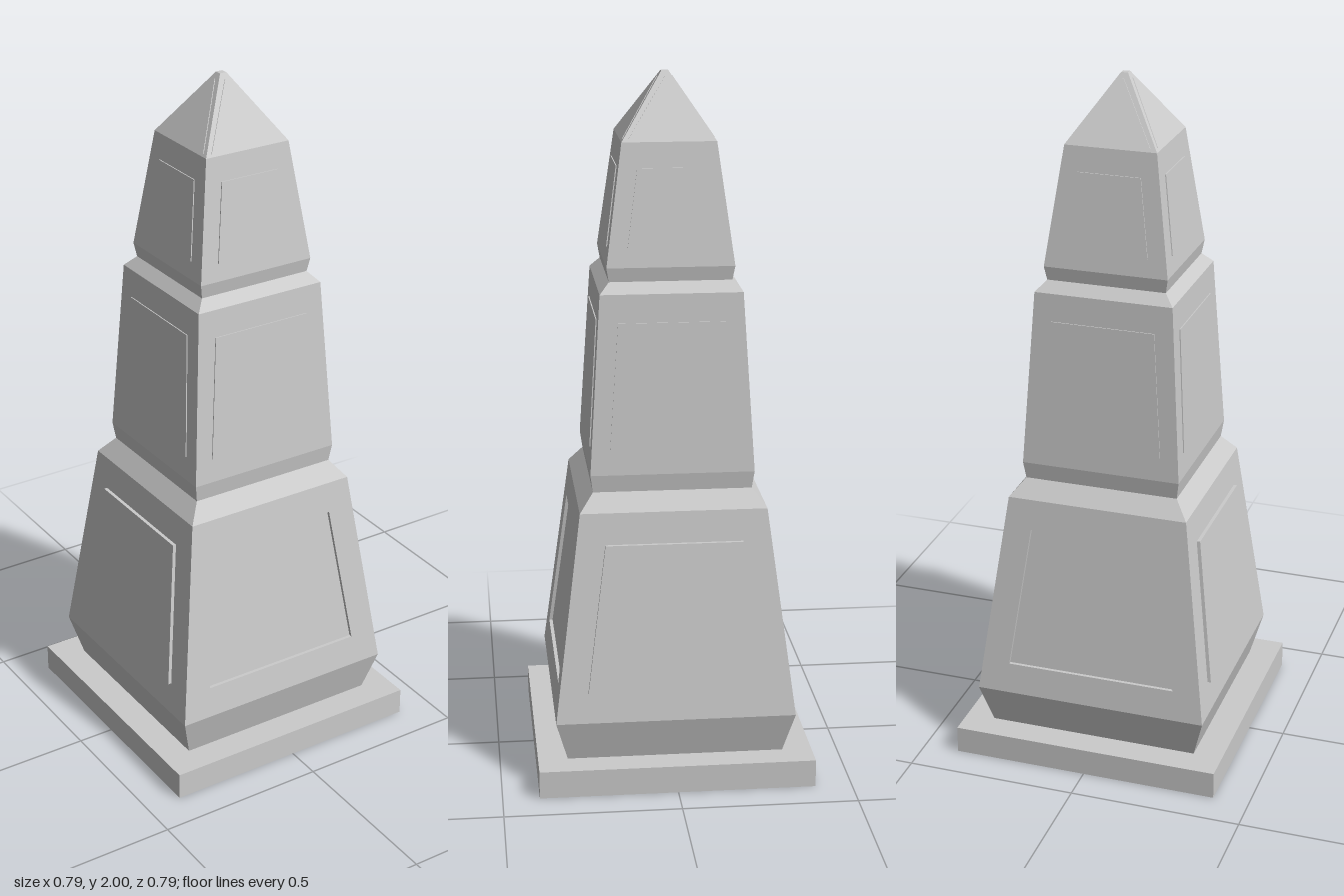
import * as THREE from 'three';

const stone = new THREE.MeshStandardMaterial({ color: 0xcccccc });

// Flat-faced mesh from quads, each with four corners counter-clockwise
function quadMesh(name, quads) {
  const pos = [];
  for (const [a, b, c, d] of quads) pos.push(...a, ...b, ...c, ...a, ...c, ...d);
  const geo = new THREE.BufferGeometry();
  geo.setAttribute('position', new THREE.Float32BufferAttribute(pos, 3));
  geo.computeVertexNormals();
  const mesh = new THREE.Mesh(geo, stone);
  mesh.name = name;
  return mesh;
}

// Quads joining two rings of four corners
const bridge = (outer, inner) => outer.map((p, i) => {
  const j = (i + 1) % 4;
  return [p, outer[j], inner[j], inner[i]];
});

// Trapezoid on a sloping face that runs from [half0, y0] to [half1, y1], pushed out by d
function trapezoid([half0, y0], [half1, y1], { bottom, top, w0, w1 }, d = 0) {
  const z = y => half0 + (half1 - half0) * (y - y0) / (y1 - y0) + d;
  return [
    [-w0, bottom, z(bottom)], [w0, bottom, z(bottom)],
    [w1, top, z(top)], [-w1, top, z(top)],
  ];
}

// One side of a tier: its sloping bands plus a raised or sunken panel on the main band
function tierSide(profile, main, panel, depth) {
  const side = new THREE.Group();
  const faces = [];
  for (let i = 0; i < profile.length - 1; i++) {
    const a = profile[i], b = profile[i + 1];
    const band = trapezoid(a, b, { bottom: a[1], top: b[1], w0: a[0], w1: b[0] });
    if (i === main && depth < 0) faces.push(...bridge(band, trapezoid(a, b, panel)));
    else faces.push(band);
  }
  const a = profile[main], b = profile[main + 1];
  const rim = trapezoid(a, b, panel), face = trapezoid(a, b, panel, depth);
  side.add(quadMesh('wall', faces));
  side.add(quadMesh(depth < 0 ? 'sunkenPanel' : 'raisedPanel', [...bridge(rim, face), face]));
  return side;
}

// Profiles are [half width, height]; depths are for the front/back and the left/right sides
const tiers = [
  { name: 'lowerTier', profile: [[0.31, 0.08], [0.343, 0.2], [0.265, 0.8], [0.225, 0.85]], main: 1,
    panel: { bottom: 0.29, top: 0.71, w0: 0.25, w1: 0.195 }, depths: [-0.01, 0.01] },
  { name: 'middleTier', profile: [[0.225, 0.85], [0.232, 0.9], [0.2, 1.41], [0.172, 1.44]], main: 1,
    panel: { bottom: 0.97, top: 1.33, w0: 0.176, w1: 0.15 }, depths: [0.003, 0.003] },
  { name: 'upperTier', profile: [[0.172, 1.44], [0.179, 1.48], [0.132, 1.82]], main: 1,
    panel: { bottom: 1.53, top: 1.75, w0: 0.12, w1: 0.09 }, depths: [0.003, 0.003] },
  { name: 'pyramidCap', profile: [[0.132, 1.82], [0.01, 2]], main: 0,
    panel: { bottom: 1.828, top: 1.985, w0: 0.112, w1: 0.002 }, depths: [0.002, 0.002] },
];

export function createModel() {
  const model = new THREE.Group();
  model.name = 'obelisk';

  // Square plinth
  const plinth = new THREE.Mesh(new THREE.BoxGeometry(0.79, 0.08, 0.79), stone);
  plinth.name = 'plinth';
  plinth.position.y = 0.04;
  model.add(plinth);

  // Tapering tiers, four sides each
  for (const { name, profile, main, panel, depths } of tiers) {
    const tier = new THREE.Group();
    tier.name = name;
    ['front', 'left', 'back', 'right'].forEach((sideName, k) => {
      const side = tierSide(profile, main, panel, depths[k % 2]);
      side.name = sideName + 'Side';
      side.rotation.y = k * Math.PI / 2;
      tier.add(side);
    });
    model.add(tier);
  }

  // Blunt tip
  const t = 0.01;
  model.add(quadMesh('tip', [[[-t, 2, t], [t, 2, t], [t, 2, -t], [-t, 2, -t]]]));
  return model;
}
